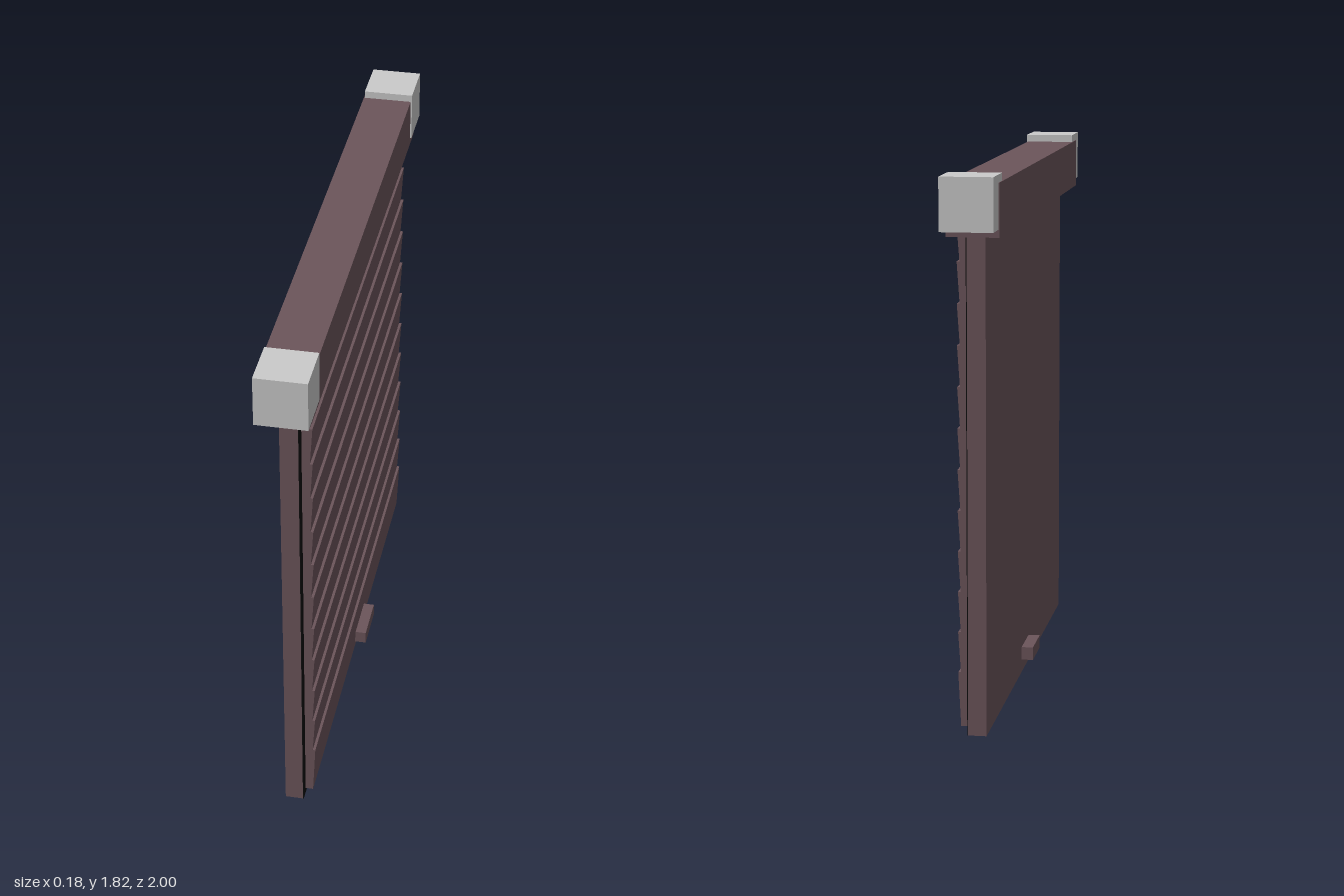
import * as THREE from 'three';

const brown = new THREE.MeshStandardMaterial({ color: 0x6c555b, flatShading: true });
const black = new THREE.MeshStandardMaterial({ color: 0x0c0c0c, flatShading: true });
const grey = new THREE.MeshStandardMaterial({ color: 0xcccccc, flatShading: true });

// Box given by its minimum and maximum corners
function box(name, min, max, material) {
  const size = max.map((v, i) => v - min[i]);
  const mesh = new THREE.Mesh(new THREE.BoxGeometry(...size), material);
  mesh.position.set(...max.map((v, i) => (v + min[i]) / 2));
  mesh.name = name;
  return mesh;
}

// Slat spanning z, whose outer face leans out towards its top edge
function slat(y0, y1, z0, z1) {
  const shape = new THREE.Shape();
  shape.moveTo(0.022, y0);
  shape.lineTo(0.049, y0);
  shape.lineTo(0.058, y1);
  shape.lineTo(0.022, y1);
  shape.closePath();
  const geometry = new THREE.ExtrudeGeometry(shape, { depth: z1 - z0, bevelEnabled: false });
  const mesh = new THREE.Mesh(geometry, brown);
  mesh.position.z = z0;
  mesh.name = 'slat';
  return mesh;
}

export function createModel() {
  const model = new THREE.Group();
  model.name = 'rollerShutter';

  // Flat back panel with a dark facing that shows around the slats
  model.add(box('backPanel', [-0.04, 0, -0.845], [0.02, 1.63, 0.87], brown));
  model.add(box('darkFacing', [0.02, 0, -0.845], [0.023, 1.63, 0.87], black));

  // Slats: a taller one at the bottom, then an even pitch up into the beam
  const slats = new THREE.Group();
  slats.name = 'slats';
  const pitch = 0.4 / 3;
  slats.add(slat(0.02, 0.2, -0.81, 0.838));
  for (let i = 0; i < 11; i++) {
    const y = 0.2 + i * pitch;
    slats.add(slat(y, Math.min(y + pitch, 1.65), -0.81, 0.838));
  }
  model.add(slats);

  // Handle passing through to both faces
  model.add(box('handle', [-0.08, 0.045, -0.09], [0.09, 0.09, 0.075], brown));

  // Housing beam across the top and its end blocks
  model.add(box('topBeam', [-0.093, 1.62, -0.905], [0.075, 1.79, 0.93], brown));
  for (const side of [-1, 1]) {
    const block = box('endBlock', [-0.09, 1.645, -0.085], [0.08, 1.815, 0.085], grey);
    block.position.z = side * 0.915;
    model.add(block);
  }
  return model;
}
